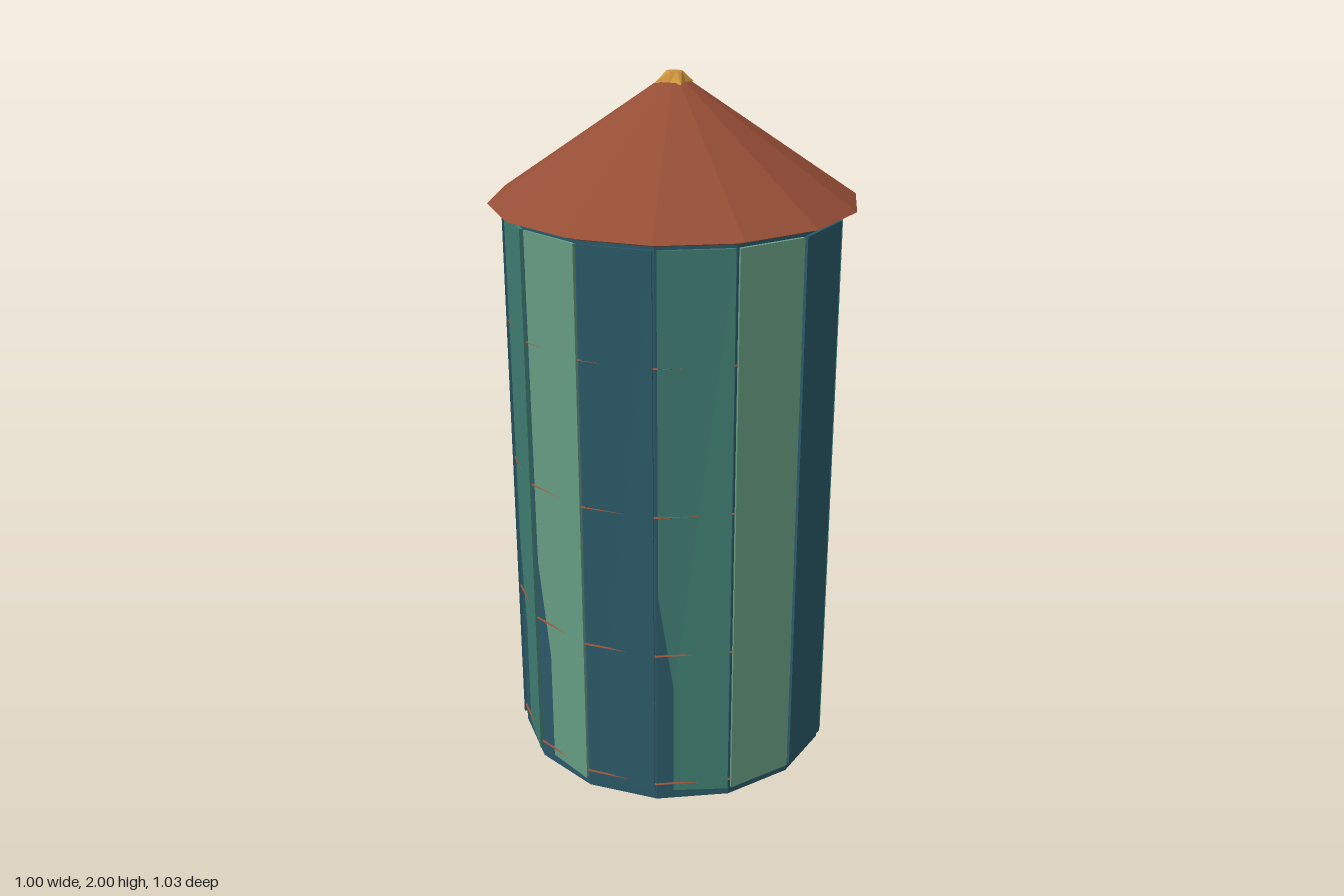
import * as THREE from 'three';

const SIDES = 14;
const STEP = (Math.PI * 2) / SIDES;

function material(name, color) {
  const m = new THREE.MeshStandardMaterial({ color, flatShading: true });
  m.name = name;
  return m;
}

export function createModel() {
  const blue = material('deep blue', 0x2a5866);
  const teal = material('teal', 0x3f7c71);
  const green = material('pale green', 0x659c82);
  const rust = material('rust', 0x964e36);
  const gold = material('gold', 0xcc943e);

  const model = new THREE.Group();
  model.name = 'tower';
  const add = (name, geometry, mat, y = 0, parent = model) => {
    const mesh = new THREE.Mesh(geometry, mat);
    mesh.name = name;
    mesh.position.y = y;
    parent.add(mesh);
    return mesh;
  };

  // inner drum
  add('core', new THREE.CylinderGeometry(0.466, 0.466, 1.66, SIDES), blue, 0.83);

  // wall panels; those past the front sink into the drum along one edge
  const panels = new THREE.Group();
  panels.name = 'panels';
  model.add(panels);
  const order = [green, blue, teal, blue, teal, green, blue, teal, green, blue, teal, green, blue, teal];
  order.forEach((mat, i) => {
    const geo = new THREE.BoxGeometry(1, 1, 1);
    const p = geo.attributes.position;
    const sunken = i >= 4;
    for (let k = 0; k < p.count; k++) {
      const right = p.getX(k) > 0, top = p.getY(k) > 0, outer = p.getZ(k) > 0;
      const a = right ? (i + 1) * STEP - 0.012 : i * STEP + 0.012;
      let r = 0.475;
      if (sunken && !right) r = top ? 0.469 : 0.462;
      if (!outer) r -= 0.02;
      p.setXYZ(k, r * Math.sin(a), top ? 1.63 : 0.025, r * Math.cos(a));
    }
    geo.computeVertexNormals();
    add('panel' + (i + 1), geo, mat, 0, panels);
  });

  // thin hoops around the drum
  const hoopProfile = [[0.45, -0.012], [0.471, 0], [0.45, 0.012]].map(([r, y]) => new THREE.Vector2(r, y));
  for (const y of [0.05, 0.475, 0.9, 1.32, 1.642]) {
    add('hoop', new THREE.LatheGeometry(hoopProfile, SIDES), rust, y);
  }

  // faceted conical roof
  add('roof', new THREE.CylinderGeometry(0.045, 0.513, 0.318, SIDES), rust, 1.814);

  // star-shaped finial
  const star = new THREE.CylinderGeometry(0.023, 0.056, 0.03, 8);
  const s = star.attributes.position;
  for (let k = 0; k < s.count; k++) {
    const x = s.getX(k), z = s.getZ(k);
    if (s.getY(k) < 0 && Math.abs(x) > 0.01 && Math.abs(z) > 0.01) {
      s.setX(k, x * 0.65);
      s.setZ(k, z * 0.65);
    }
  }
  star.computeVertexNormals();
  add('finial', star, gold, 1.985);

  return model;
}
